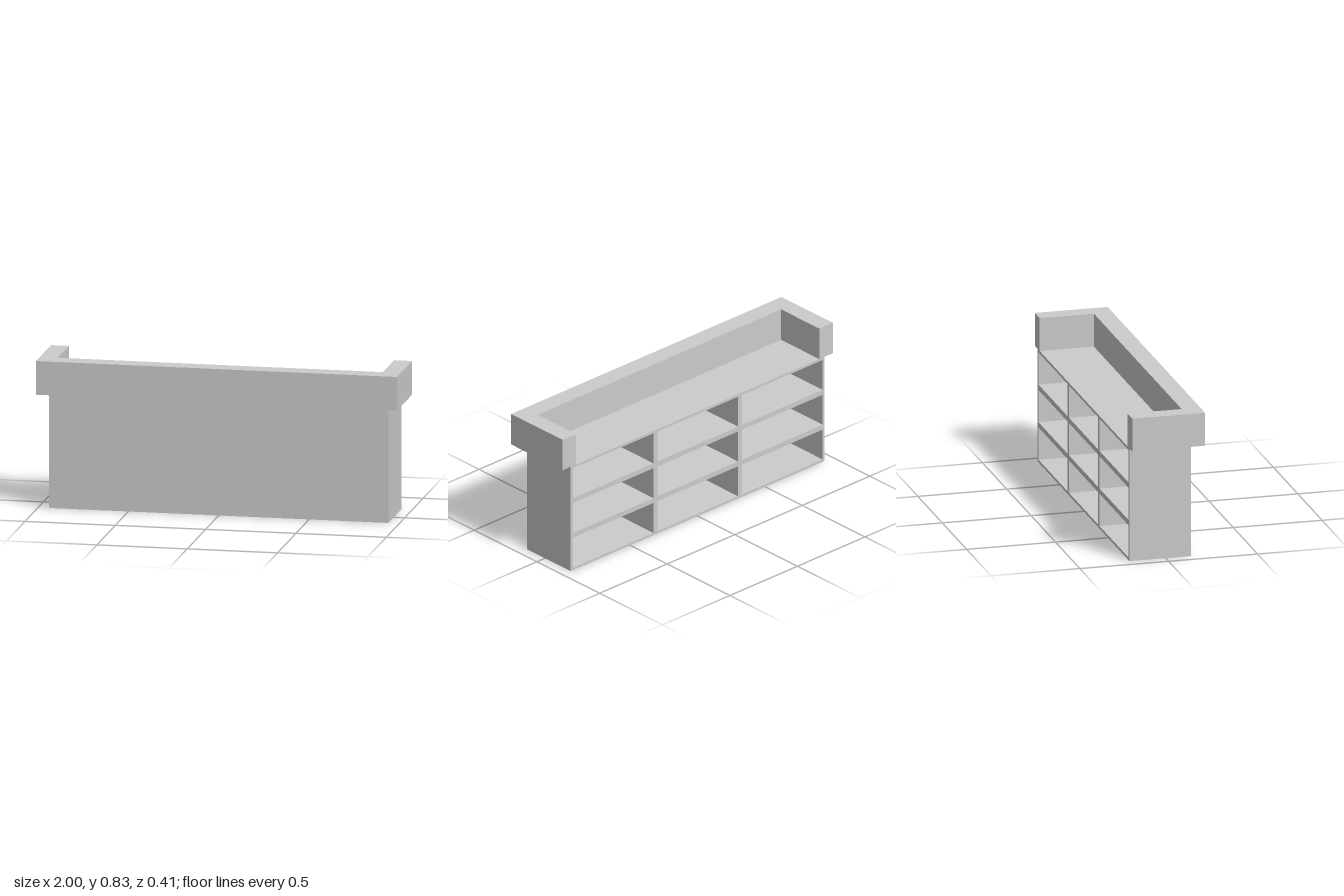
import * as THREE from 'three';

const material = new THREE.MeshStandardMaterial({ color: 0xcccccc, flatShading: true });

// Closed path through a list of [x, y] corners.
function trace(path, points) {
  points.forEach(([x, y], i) => (i ? path.lineTo(x, y) : path.moveTo(x, y)));
  path.closePath();
  return path;
}

function addPart(group, name, geometry) {
  const mesh = new THREE.Mesh(geometry, material);
  mesh.name = name;
  group.add(mesh);
  return mesh;
}

export function createModel() {
  const group = new THREE.Group();
  group.name = 'barCounter';

  const halfW = 0.94, height = 0.64, wall = 0.015;
  const back = -0.205, front = 0.143;

  // Shelf case: a 3 x 3 grid of compartments open at the back
  const outline = trace(new THREE.Shape(), [[-halfW, 0], [halfW, 0], [halfW, height], [-halfW, height]]);
  const cellW = (2 * halfW) / 3, cellH = height / 3;
  const holeW = (2 * halfW - 6 * wall) / 3, holeH = (height - 6 * wall) / 3;
  for (let col = 0; col < 3; col++) {
    for (let row = 0; row < 3; row++) {
      const x = -halfW + col * cellW + wall;
      const y = row * cellH + wall;
      outline.holes.push(trace(new THREE.Path(), [[x, y], [x, y + holeH], [x + holeW, y + holeH], [x + holeW, y]]));
    }
  }
  const shelves = addPart(group, 'shelfCase',
    new THREE.ExtrudeGeometry(outline, { depth: front - back - wall, bevelEnabled: false }));
  shelves.position.z = back;

  // Front panel closing the compartments
  const panel = addPart(group, 'frontPanel', new THREE.BoxGeometry(2 * halfW, height, wall));
  panel.position.set(0, height / 2, front - wall / 2);

  // U-shaped raised counter top, open at the back (shape y becomes -z)
  const counter = trace(new THREE.Shape(), [
    [-1, 0.205], [-1, -0.205], [1, -0.205], [1, 0.205],
    [0.9, 0.205], [0.9, -0.1], [-0.9, -0.1], [-0.9, 0.205],
  ]);
  const rim = addPart(group, 'counterTop',
    new THREE.ExtrudeGeometry(counter, { depth: 0.187, bevelEnabled: false }));
  rim.rotation.x = -Math.PI / 2;
  rim.position.y = height;

  return group;
}
